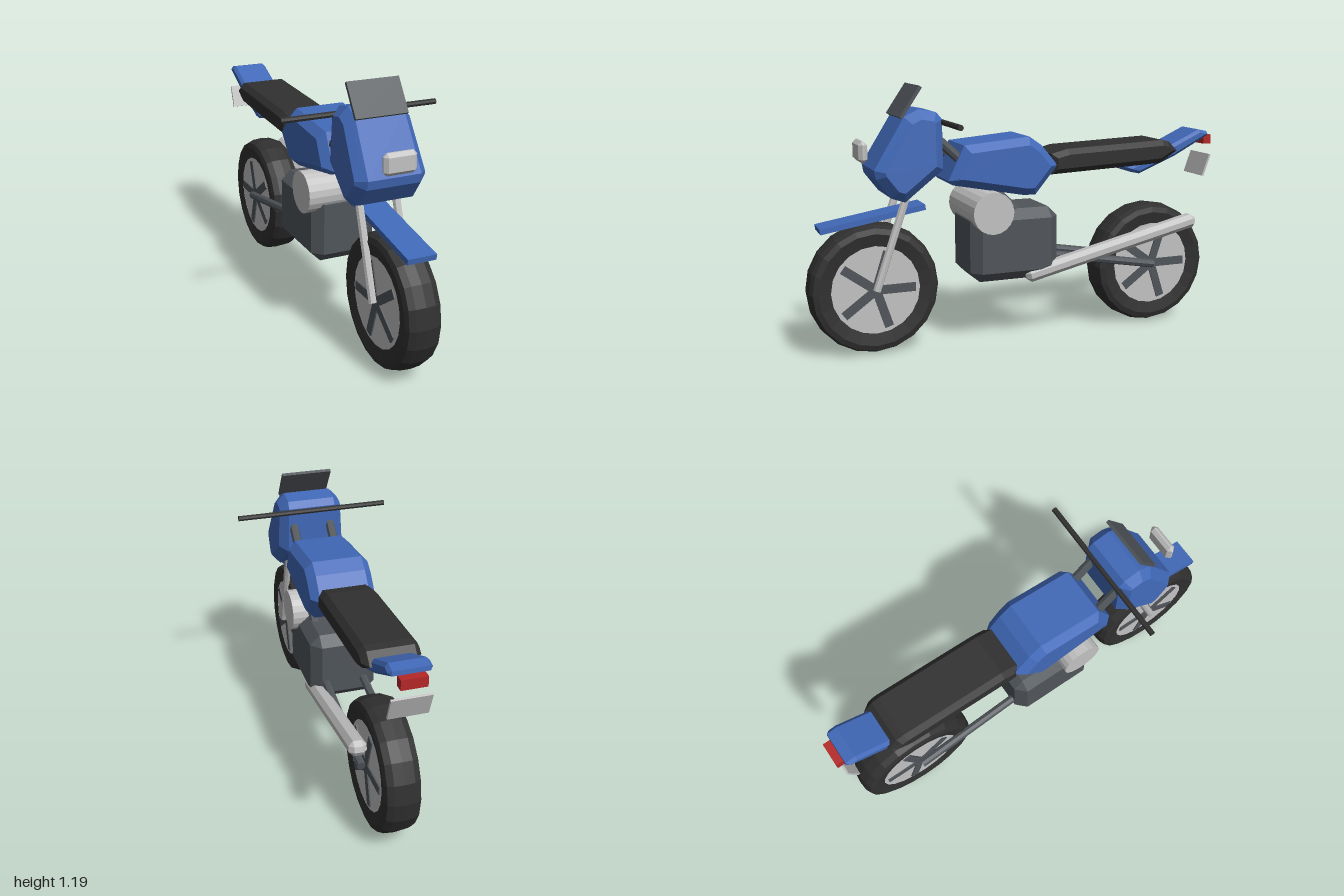
import * as THREE from 'three';
import { ConvexGeometry } from 'three/addons/geometries/ConvexGeometry.js';

const mat = (name, color) => {
  const m = new THREE.MeshStandardMaterial({ color });
  m.name = name;
  return m;
};

export function createModel() {
  const blue = mat('blue paint', 0x4169b8);
  const black = mat('black rubber', 0x303030);
  const grey = mat('dark grey metal', 0x50555a);
  const silver = mat('silver metal', 0xc2c2c2);
  const red = mat('red lamp', 0xb52828);
  const bike = new THREE.Group();
  bike.name = 'motorcycle';

  const add = (name, geometry, material, pos = [0, 0, 0], parent = bike) => {
    const mesh = new THREE.Mesh(geometry, material);
    mesh.name = name;
    mesh.position.set(...pos);
    parent.add(mesh);
    return mesh;
  };
  const flat = (g) => {
    const out = g.index ? g.toNonIndexed() : g;
    out.computeVertexNormals();
    return out;
  };
  // box with all edges cut by c
  const chamferBox = (w, h, d, c) => {
    const pts = [];
    for (const sx of [-1, 1]) for (const sy of [-1, 1]) for (const sz of [-1, 1])
      for (let k = 0; k < 3; k++) pts.push(new THREE.Vector3(
        sx * (w / 2 - (k === 0 ? 0 : c)),
        sy * (h / 2 - (k === 1 ? 0 : c)),
        sz * (d / 2 - (k === 2 ? 0 : c))));
    return new ConvexGeometry(pts);
  };
  // side outline of [z, y] points, extruded across x with a cut edge
  const sidePanel = (outline, half, c) => {
    const shape = new THREE.Shape(outline.map(([z, y]) => new THREE.Vector2(z, y)));
    return new THREE.ExtrudeGeometry(shape, {
      depth: 2 * (half - c), bevelEnabled: true, bevelSegments: 1,
      bevelThickness: c, bevelSize: c, bevelOffset: -c,
    }).translate(0, 0, c - half).rotateY(-Math.PI / 2);
  };
  // straight tube between two points
  const rod = (name, a, b, r, material, sides = 8) => {
    const from = new THREE.Vector3(...a), to = new THREE.Vector3(...b);
    const dir = to.clone().sub(from);
    const mesh = add(name, flat(new THREE.CylinderGeometry(r, r, dir.length(), sides)), material);
    mesh.position.copy(from).add(to).multiplyScalar(0.5);
    mesh.quaternion.setFromUnitVectors(new THREE.Vector3(0, 1, 0), dir.normalize());
    return mesh;
  };
  // box stretched between two [x, y, z] points
  const beam = (name, a, b, w, h, c, material) => {
    const from = new THREE.Vector3(...a), to = new THREE.Vector3(...b);
    const len = from.distanceTo(to);
    const g = c ? chamferBox(w, h, len, c) : new THREE.BoxGeometry(w, h, len);
    const mesh = add(name, g, material);
    mesh.position.copy(from).add(to).multiplyScalar(0.5);
    mesh.lookAt(to);
    return mesh;
  };

  // wheels: tyre, solid disc and five spokes
  const tyreProfile = [[0.2, -0.07], [0.255, -0.08], [0.28, -0.072], [0.292, -0.045],
    [0.296, 0], [0.292, 0.045], [0.28, 0.072], [0.255, 0.08], [0.2, 0.07]]
    .map(([r, y]) => new THREE.Vector2(r, y));
  for (const [name, z] of [['frontWheel', 0.706], ['rearWheel', -0.67]]) {
    const wheel = new THREE.Group();
    wheel.name = name;
    wheel.position.set(0, 0.3, z);
    bike.add(wheel);
    const tyre = flat(new THREE.LatheGeometry(tyreProfile, 20)).rotateZ(Math.PI / 2);
    add('tyre', tyre, black, [0, 0, 0], wheel);
    const disc = flat(new THREE.CylinderGeometry(0.202, 0.202, 0.138, 20)).rotateZ(Math.PI / 2);
    add('disc', disc, silver, [0, 0, 0], wheel);
    for (let i = 0; i < 5; i++) {
      const spoke = new THREE.BoxGeometry(0.15, 0.04, 0.18).translate(0, 0, -0.09)
        .rotateX(i * Math.PI * 2 / 5);
      add('spoke', spoke, grey, [0, 0, 0], wheel);
    }
  }

  // paired tubes
  for (const s of [-1, 1]) {
    rod('forkTube', [s * 0.087, 0.3, 0.706], [s * 0.087, 0.98, 0.473], 0.018, silver);
    rod('frameTube', [s * 0.09, 0.96, 0.42], [s * 0.09, 0.6, 0.03], 0.022, grey);
    rod('swingArm', [s * 0.09, 0.4, -0.1], [s * 0.09, 0.3, -0.67], 0.02, grey);
  }
  rod('handlebar', [-0.362, 1.035, 0.4], [0.362, 1.035, 0.4], 0.013, black);

  // front fairing, narrower towards the top
  const fairing = sidePanel([[0.405, 0.83], [0.58, 0.695], [0.64, 0.715], [0.705, 0.8],
    [0.713, 0.84], [0.575, 1.065], [0.51, 1.096], [0.43, 1.08], [0.405, 1.05]], 0.16, 0.04);
  const p = fairing.attributes.position;
  for (let i = 0; i < p.count; i++) p.setX(i, p.getX(i) * (1.05 - 0.3 * (p.getY(i) - 0.7)));
  add('fairing', flat(fairing), blue);

  beam('windscreen', [0, 1.06, 0.59], [0, 1.193, 0.5], 0.24, 0.015, 0, grey);
  add('headlight', chamferBox(0.15, 0.095, 0.04, 0.016), silver, [0, 0.913, 0.745]);
  beam('frontFender', [0, 0.578, 0.942], [0, 0.657, 0.472], 0.13, 0.025, 0, blue);

  // tank, seat and tail
  add('tank', sidePanel([[0.36, 0.755], [0.38, 0.775], [0.305, 0.93], [-0.005, 0.957],
    [-0.065, 0.915], [-0.145, 0.82], [-0.035, 0.69], [0.02, 0.69]].reverse(), 0.15, 0.035), blue);
  add('seat', sidePanel([[-0.12, 0.775], [-0.12, 0.87], [-0.2, 0.89], [-0.7, 0.91],
    [-0.735, 0.902], [-0.782, 0.855], [-0.69, 0.8], [-0.6, 0.795]], 0.125, 0.025), black);
  add('tail', sidePanel([[-0.53, 0.78], [-0.76, 0.88], [-0.915, 0.95], [-0.962, 0.94],
    [-0.965, 0.92], [-0.78, 0.825], [-0.59, 0.75], [-0.545, 0.76]], 0.09, 0.014), blue);
  add('tailLight', new THREE.BoxGeometry(0.11, 0.045, 0.04), red, [0, 0.897, -0.98]);
  beam('rearPlate', [0, 0.825, -0.98], [0, 0.72, -0.942], 0.17, 0.01, 0, silver);

  // engine and exhaust
  add('engine', chamferBox(0.31, 0.33, 0.425, 0.045), grey, [0, 0.465, 0.068]);
  const barrel = flat(new THREE.CylinderGeometry(0.096, 0.096, 0.364, 20)).rotateZ(Math.PI / 2);
  add('engineCylinder', barrel, silver, [0, 0.627, 0.19]);
  beam('exhaust', [0.118, 0.31, 0.015], [0.162, 0.525, -0.848], 0.075, 0.065, 0.02, silver);

  return bike;
}
